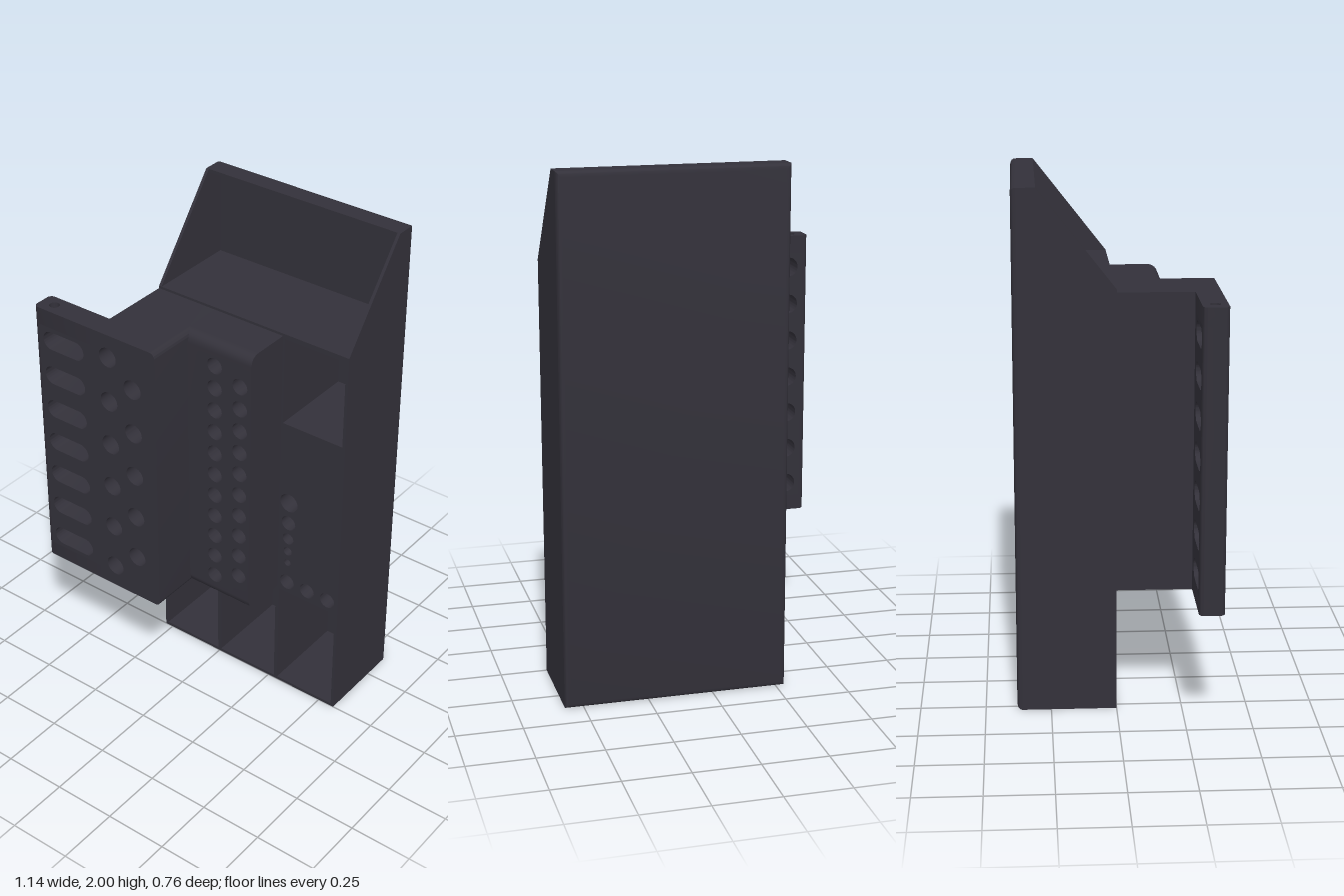
import * as THREE from 'three';
import { toCreasedNormals } from 'three/addons/utils/BufferGeometryUtils.js';

const material = new THREE.MeshStandardMaterial({ color: 0x33313a, side: THREE.DoubleSide });
const LEFT = 0.57, RIGHT = -0.285, BACK = -0.36, WALL = 0.012;
const Y0 = 0.48, Y1 = 1.62;

export function createModel() {
  const model = new THREE.Group();

  const add = (name, geometry) => {
    const mesh = new THREE.Mesh(toCreasedNormals(geometry, 0.5), material);
    mesh.name = name;
    model.add(mesh);
    return mesh;
  };

  const box = (name, x0, x1, y0, y1, z0, z1) =>
    add(name, new THREE.BoxGeometry(x1 - x0, y1 - y0, z1 - z0)
      .translate((x0 + x1) / 2, (y0 + y1) / 2, (z0 + z1) / 2));

  // Rectangle whose left (+x) and right corners can be rounded separately
  const rect = (x0, x1, y0, y1, rPlus = 0, rMinus = 0) => {
    const s = new THREE.Shape();
    const corner = (x, y, r, a) => (r ? s.absarc(x, y, r, a, a + Math.PI / 2, false) : s.lineTo(x, y));
    s.moveTo(x0 + rMinus, y0);
    corner(x1 - rPlus, y0 + rPlus, rPlus, -Math.PI / 2);
    corner(x1 - rPlus, y1 - rPlus, rPlus, 0);
    corner(x0 + rMinus, y1 - rMinus, rMinus, Math.PI / 2);
    corner(x0 + rMinus, y0 + rMinus, rMinus, Math.PI);
    return s;
  };

  const hole = (x, y, r) => new THREE.Path().absarc(x, y, r, 0, Math.PI * 2, true);

  const slab = (shape, z0, z1, steps = 1) =>
    new THREE.ExtrudeGeometry(shape, { depth: z1 - z0, steps, bevelEnabled: false, curveSegments: 12 })
      .translate(0, 0, z0);

  // Slab with front edges rounded over its full thickness, by clamping x and y
  const roundedSlab = (shape, b, z0, r, roundX) => {
    const g = slab(shape, 0, r, 6);
    const p = g.attributes.position;
    for (let i = 0; i < p.count; i++) {
      const z = Math.min(p.getZ(i), r);
      const inset = r - Math.sqrt(r * r - z * z);
      const ix = roundX ? inset : 0;
      p.setXY(i,
        THREE.MathUtils.clamp(p.getX(i), b[0] + ix, b[1] - ix),
        THREE.MathUtils.clamp(p.getY(i), b[2] + inset, b[3] - inset));
    }
    g.translate(0, 0, z0);
    g.computeVertexNormals();
    return g;
  };

  // Shape extruded upward; shape y becomes -z
  const upright = (name, shape, y0, y1) => add(name, slab(shape, y0, y1).rotateX(-Math.PI / 2));

  // Back panel with rounded rear edges
  const midX = (LEFT + RIGHT) / 2, half = (LEFT - RIGHT) / 2;
  const panel = add('backPanel', roundedSlab(rect(-half, half, 0, 2), [-half, half, 0, 2], 0, 0.02, true)
    .rotateY(Math.PI));
  panel.position.set(midX, 0, BACK);

  // Side walls with slanted upper front edge
  const profile = new THREE.Shape([[0, 0], [0.36, 0], [0.36, 2], [0.29, 2], [0, 1.63]]
    .map(([x, y]) => new THREE.Vector2(x, y)));
  [['leftWall', LEFT - WALL], ['rightWall', RIGHT]].forEach(([name, x]) => {
    add(name, slab(profile, 0, WALL).rotateY(Math.PI / 2)).position.x = x;
  });

  // Shelves and bin dividers
  box('topLip', RIGHT, LEFT, 2 - WALL, 2, BACK, -0.29);
  box('trayFloor', RIGHT + 0.002, LEFT - 0.002, 1.61, 1.63, BACK, 0);
  box('binFloor', RIGHT, LEFT, 0, WALL, BACK, 0);
  box('binCeiling', RIGHT + 0.002, LEFT - 0.002, 0.47, Y0 + 0.005, BACK, 0);
  [0, 0.285].forEach((x) => box('binDivider', x - 0.008, x + 0.008, 0, Y0, BACK, 0));

  // Low tier: deep pocket, graded holes and a row of three
  const low = rect(0.28, LEFT - 0.004, Y0, Y1);
  const pocket = new THREE.Path([[0.293, 1.25], [0.293, 1.61], [0.558, 1.61], [0.558, 1.25]]
    .map(([x, y]) => new THREE.Vector2(x, y)));
  low.holes.push(pocket);
  [[0.9, 0.04], [0.805, 0.032], [0.73, 0.025], [0.67, 0.019], [0.615, 0.015]]
    .forEach(([y, r]) => low.holes.push(hole(0.33, y, r)));
  [0.33, 0.425, 0.52].forEach((x) => low.holes.push(hole(x, 0.52, 0.033)));
  add('lowTier', slab(low, BACK, 0));

  // Middle tier: two columns of small holes, rounded top and bottom edges
  const middleBounds = [-0.05, 0.285, Y0, Y1];
  const middle = rect(...middleBounds);
  for (let i = 0; i < 11; i++) middle.holes.push(hole(0.122, 1.525 - i * 0.095, 0.033));
  for (let i = 0; i < 10; i++) middle.holes.push(hole(0.236, 1.48 - i * 0.095, 0.033));
  add('middleTier', slab(middle, -0.15, 0.15));
  add('middleTierFront', roundedSlab(middle, middleBounds, 0.15, 0.04, false));
  box('middleTierCore', 0, 0.285, Y0, Y1, BACK, -0.15);

  // High tier: two staggered columns of large holes
  const high = rect(RIGHT, 0, Y0, Y1, 0.022);
  for (let i = 0; i < 6; i++) high.holes.push(hole(-0.22, 1.525 - i * 0.19, 0.04));
  for (let i = 0; i < 5; i++) high.holes.push(hole(-0.107, 1.43 - i * 0.19, 0.04));
  add('highTier', slab(high, 0, 0.38));
  box('highTierCore', RIGHT, 0, Y0, Y1, BACK, 0);

  // Slotted side flange
  const slotted = rect(-0.55, -0.28, 0.54, 1.55);
  for (let i = 0; i < 7; i++) {
    const y = 0.595 + i * 0.15, r = 0.038;
    const slot = new THREE.Path();
    slot.absarc(-0.335 - r, y, r, Math.PI / 2, -Math.PI / 2, true);
    slot.absarc(-0.53 + r, y, r, -Math.PI / 2, -Math.PI * 1.5, true);
    slotted.holes.push(slot);
  }
  add('slottedFlange', slab(slotted, 0.285, 0.38));

  // Rounded outer edge of the flange, between its ends
  const edge = new THREE.Shape();
  edge.moveTo(-0.55, -0.38);
  edge.lineTo(-0.55, -0.285);
  edge.absarc(-0.55, -0.305, 0.02, Math.PI / 2, Math.PI, false);
  edge.absarc(-0.55, -0.36, 0.02, Math.PI, Math.PI * 1.5, false);
  upright('flangeEdge', edge, 0.54, 1.55);

  // Flange ends with a pin hole
  const end = rect(-0.57, -0.28, -0.38, -0.285, 0, 0.02);
  end.holes.push(hole(-0.51, -0.3325, 0.02));
  upright('flangeBottom', end, Y0, 0.54);
  upright('flangeTop', end, 1.55, Y1);

  return model;
}
